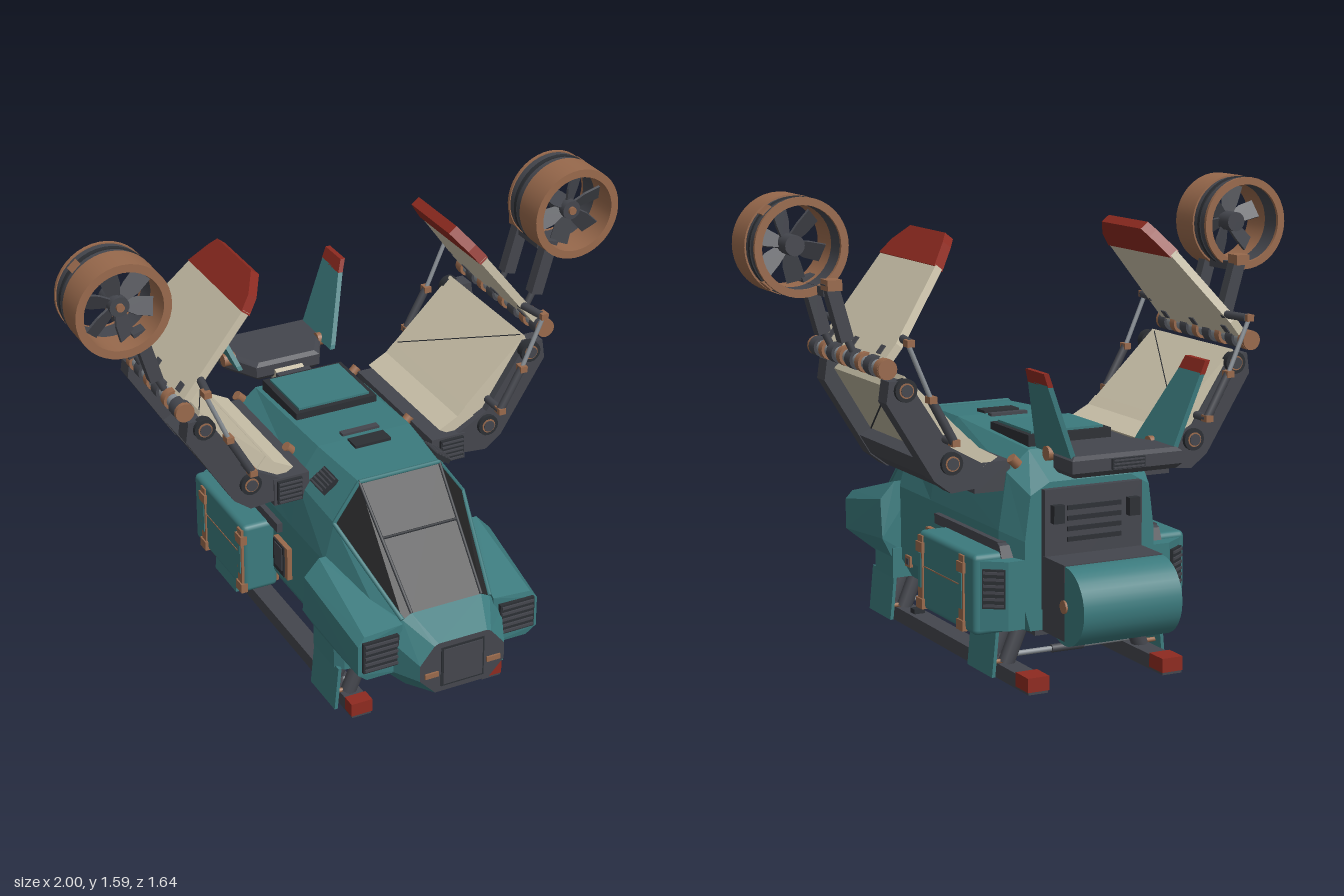
import * as THREE from 'three';
import { ConvexGeometry } from 'three/addons/geometries/ConvexGeometry.js';
import { RoundedBoxGeometry } from 'three/addons/geometries/RoundedBoxGeometry.js';

const mat = (name, color) => Object.assign(new THREE.MeshStandardMaterial({ color }), { name });
const teal = mat('teal paint', 0x3b7a7d), dark = mat('dark grey', 0x44464d), trim = mat('black trim', 0x2c2f34);
const glass = mat('canopy glass', 0x222223), cream = mat('cream panel', 0xcbc2aa), khaki = mat('khaki panel', 0xb5ae98);
const red = mat('red tip', 0x8e2a20), copper = mat('copper', 0x98694c), steel = mat('steel', 0x8a9096);
const V = (x, y, z) => new THREE.Vector3(x, y, z);

function add(parent, name, geo, material, x = 0, y = 0, z = 0) {
  const m = new THREE.Mesh(geo, material);
  m.name = name;
  m.position.set(x, y, z);
  parent.add(m);
  return m;
}
const box = (p, name, m, w, h, d, x, y, z) => add(p, name, new THREE.BoxGeometry(w, h, d), m, x, y, z);
const hull = (p, name, m, pts) => add(p, name, new ConvexGeometry(pts.map(a => V(...a))), m);
const cylZ = (p, name, m, r, len, x, y, z, n = 16) =>
  add(p, name, new THREE.CylinderGeometry(r, r, len, n).rotateX(Math.PI / 2), m, x, y, z);

// rod between two points
function rod(p, name, m, r, a, b, n = 10) {
  const A = V(...a), B = V(...b), d = B.clone().sub(A);
  const o = add(p, name, new THREE.CylinderGeometry(r, r, d.length(), n), m);
  o.position.copy(A).add(B).multiplyScalar(0.5);
  o.quaternion.setFromUnitVectors(V(0, 1, 0), d.normalize());
}
// outline in the x-y plane, extruded from z0 to z1
function slab(p, name, m, pts, z0, z1) {
  const s = new THREE.Shape(pts.map(a => new THREE.Vector2(...a)));
  add(p, name, new THREE.ExtrudeGeometry(s, { depth: z1 - z0, bevelEnabled: false }), m, 0, 0, z0);
}
// dark louvre facing +z, with slats
function grille(p, name, w, h, n) {
  const g = new THREE.Group();
  g.name = name;
  p.add(g);
  box(g, 'grilleBack', trim, w, h, 0.016, 0, 0, 0);
  for (let i = 0; i < n; i++) box(g, 'grilleSlat', dark, w * 0.92, h / n * 0.4, 0.01, 0, h * ((i + 0.5) / n - 0.5), 0.008);
  return g;
}
// mirrored half sections lofted front to back; pick() gives the material of each face
function loft(p, name, secs, mats, pick) {
  const rings = secs.map(([z, h]) => [...h.map(([x, y]) => [x, y, z]), ...h.slice().reverse().map(([x, y]) => [-x, y, z])]);
  const n = rings[0].length, pos = [], geo = new THREE.BufferGeometry();
  const tri = (m, ...t) => {
    geo.addGroup(pos.length / 3, 3, m);
    t.forEach(v => pos.push(...v));
  };
  for (let s = 0; s < rings.length - 1; s++) for (let j = 0; j < n; j++) {
    const a = rings[s], b = rings[s + 1], k = (j + 1) % n, m = pick(s, j, n);
    tri(m, a[j], a[k], b[k]);
    tri(m, a[j], b[k], b[j]);
  }
  const f = rings[0], b = rings[rings.length - 1];
  for (let j = 1; j < n - 1; j++) {
    tri(1, f[0], f[j + 1], f[j]);
    tri(0, b[0], b[j], b[j + 1]);
  }
  geo.setAttribute('position', new THREE.Float32BufferAttribute(pos, 3));
  geo.computeVertexNormals();
  add(p, name, geo, mats);
}

function buildFan(p) {
  const fan = new THREE.Group();
  fan.name = 'ductedFan';
  fan.position.set(0.835, 1.425, 0);
  p.add(fan);
  const ring = (name, m, r0, r1, z0, z1) => add(fan, name, new THREE.LatheGeometry(
    [[r0, z0], [r1, z0], [r1, z0], [r1, z1], [r1, z1], [r0, z1], [r0, z1], [r0, z0]].map(a => new THREE.Vector2(...a)), 40).rotateX(Math.PI / 2), m);
  ring('frontDuct', copper, 0.136, 0.164, -0.045, 0.068);
  ring('rearDuct', dark, 0.136, 0.158, -0.118, -0.045);
  ring('ductBand', trim, 0.138, 0.162, -0.088, -0.072);
  ring('rearLip', copper, 0.136, 0.162, -0.13, -0.118);
  cylZ(fan, 'hub', dark, 0.034, 0.1, 0, 0, -0.02, 20);
  cylZ(fan, 'hubCap', copper, 0.014, 0.012, 0, 0, 0.034);
  for (let i = 0; i < 6; i++) {
    const b = hull(fan, 'blade', dark, [-0.004, 0.004].flatMap(z =>
      [[0.02, -0.018, z], [0.02, 0.018, z], [0.07, 0.034, z], [0.128, 0.036, z], [0.128, -0.028, z], [0.07, -0.026, z]]));
    b.rotation.set(0.45, 0, i * Math.PI / 3 + 0.25, 'ZYX');
  }
  for (const a of [-0.85, 0.85]) box(fan, 'ductLatch', copper, 0.022, 0.04, 0.035, 0.153 * Math.cos(a), 0.153 * Math.sin(a), -0.08).rotation.z = a;
}

function buildWing(p) {
  const w = new THREE.Group();
  w.name = 'foldingWing';
  p.add(w);
  // root box and curved arms
  box(w, 'wingRoot', dark, 0.13, 0.1, 0.57, 0.3, 0.68, -0.13);
  grille(w, 'rootGrille', 0.09, 0.085, 5).position.set(0.31, 0.68, 0.158);
  const arm = [[0.34, 0.65], [0.45, 0.64], [0.51, 0.685], [0.675, 0.95], [0.665, 1.02], [0.6, 1.02], [0.45, 0.79], [0.34, 0.73]];
  for (const [a, b, f] of [[0.085, 0.15, 1], [-0.42, -0.355, -1]]) {
    slab(w, 'wingArm', dark, arm, a, b);
    for (const [x, y] of [[0.452, 0.74], [0.612, 0.99]]) {
      cylZ(w, 'armPivot', trim, 0.038, 0.03, x, y, f > 0 ? b : a);
      cylZ(w, 'pivotRing', copper, 0.025, 0.036, x, y, f > 0 ? b : a);
      cylZ(w, 'pivotBolt', dark, 0.02, 0.044, x, y, f > 0 ? b : a);
    }
    // folding piston
    const z = f > 0 ? 0.21 : -0.485, zi = f > 0 ? 0.1 : -0.37;
    rod(w, 'pistonSleeve', dark, 0.015, [0.47, 0.82, z], [0.55, 0.965, z]);
    rod(w, 'pistonRod', steel, 0.008, [0.55, 0.965, z], [0.63, 1.15, z]);
    rod(w, 'pistonTopBar', dark, 0.014, [0.62, 1.15, z], [0.6, 1.15, zi]);
    rod(w, 'pistonBottomBar', dark, 0.014, [0.47, 0.82, z], [0.47, 0.82, zi]);
    for (const [x, y] of [[0.47, 0.82], [0.55, 0.965], [0.625, 1.15]]) box(w, 'pistonJoint', copper, 0.026, 0.022, 0.036, x, y, z);
  }
  slab(w, 'wingTrough', dark, [[0.34, 0.65], [0.45, 0.645], [0.51, 0.69], [0.55, 0.755], [0.5, 0.78], [0.34, 0.73]], -0.36, 0.09);
  // root strip and flat inner panel, with thin brace lines on both faces
  slab(w, 'rootStrip', cream, [[0.28, 0.745], [0.35, 0.782], [0.38, 0.812], [0.44, 0.74], [0.34, 0.71]], -0.415, 0.125);
  slab(w, 'innerPanel', cream, [[0.38, 0.81], [0.61, 1.035], [0.625, 1.0], [0.48, 0.77], [0.43, 0.74]], -0.415, 0.12);
  slab(w, 'innerPanelUnderside', khaki, [[0.45, 0.85], [0.61, 1.02], [0.64, 0.99], [0.5, 0.76]], -0.356, 0.086);
  rod(w, 'undersideBrace', trim, 0.003, [0.51, 0.776, 0.08], [0.638, 0.987, -0.35], 6);
  rod(w, 'panelBrace', trim, 0.002, [0.39, 0.82, -0.4], [0.605, 1.03, 0.1], 6);
  // hinge bar with collars
  cylZ(w, 'hingeBar', steel, 0.024, 0.57, 0.675, 1.062, -0.14);
  for (let i = 0; i < 8; i++) cylZ(w, 'hingeCollar', i % 2 ? copper : dark, 0.034, i % 2 ? 0.03 : 0.045, 0.675, 1.062, 0.115 - i * 0.075);
  for (const z of [0.145, -0.425]) cylZ(w, 'hingeEnd', copper, 0.033, 0.016, 0.675, 1.062, z);
  // outer panel with red tip
  const at = (y, z, t) => [-1, 1].map(s => [0.668 - (y - 1.07) * 0.797 + s * t * 0.78, y + s * t * 0.62, z]);
  hull(w, 'outerPanel', cream, [[1.08, 0.12], [1.36, 0.12], [1.36, -0.31], [1.13, -0.4], [1.08, -0.4]].flatMap(([y, z]) => at(y, z, 0.014)));
  hull(w, 'panelTip', red, [[1.355, 0.122], [1.4, 0.1], [1.45, 0.035], [1.45, -0.235], [1.425, -0.26], [1.355, -0.312]].flatMap(([y, z]) => at(y, z, 0.018)));
  for (const z of [0.08, -0.11, -0.32]) hull(w, 'panelHinge', dark, [[1.09, z], [1.115, z], [1.115, z - 0.03], [1.09, z - 0.03]].flatMap(([y, q]) => at(y, q, 0.018)));
  // fan pylons
  for (const z of [0, -0.19]) {
    box(w, 'fanPylon', dark, 0.045, 0.2, 0.042, 0.742, 1.222, z).rotation.z = -0.28;
    rod(w, 'pylonFoot', dark, 0.012, [0.675, 1.062, z], [0.72, 1.15, z]);
  }
  box(w, 'pylonCap', copper, 0.05, 0.035, 0.06, 0.765, 1.31, -0.2);
  box(w, 'pylonLink', dark, 0.04, 0.03, 0.14, 0.765, 1.285, -0.11);
  buildFan(w);
}

function buildSide(p) {
  // cheek nacelle and the leg housing below it
  hull(p, 'cheekNacelle', teal, [[0.17, 0.43, 0.715], [0.31, 0.42, 0.715], [0.335, 0.39, 0.72], [0.335, 0.28, 0.72], [0.3, 0.25, 0.715], [0.17, 0.25, 0.715],
    [0.2, 0.52, 0.36], [0.3, 0.52, 0.36], [0.355, 0.46, 0.36], [0.355, 0.32, 0.345], [0.3, 0.22, 0.36], [0.2, 0.22, 0.36]]);
  grille(p, 'cheekIntake', 0.13, 0.115, 5).position.set(0.255, 0.345, 0.722);
  hull(p, 'legHousing', teal, [[0.12, 0.55], [0.29, 0.53], [0.315, 0.5], [0.315, 0.345], [0.12, 0.345]].flatMap(([x, z]) => [[x, 0.172, z], [x, 0.28, z]]));
  // equipment box with straps, fender and rear vent block
  add(p, 'sideBox', new RoundedBoxGeometry(0.13, 0.27, 0.43, 2, 0.018), teal, 0.33, 0.305, -0.26);
  for (const z of [-0.07, -0.385]) {
    box(p, 'boxStrap', copper, 0.142, 0.24, 0.035, 0.33, 0.305, z);
    box(p, 'strapInset', teal, 0.008, 0.12, 0.02, 0.4, 0.305, z);
    for (const y of [0.19, 0.385]) box(p, 'strapBuckle', copper, 0.025, 0.035, 0.048, 0.394, y, z);
  }
  box(p, 'boxSeam', copper, 0.004, 0.004, 0.28, 0.395, 0.32, -0.23);
  box(p, 'fender', dark, 0.05, 0.035, 0.48, 0.275, 0.453, -0.21);
  hull(p, 'fenderEnd', dark, [0.25, 0.3].flatMap(x => [[x, 0.47, -0.44], [x, 0.435, -0.44], [x, 0.46, -0.465], [x, 0.4, -0.49], [x, 0.4, -0.475]]));
  hull(p, 'rearVentBlock', teal, [0.19, 0.42].flatMap(y => [[0.24, y, -0.46], [0.38, y, -0.46], [0.375, y, -0.475], [0.3, y, -0.53], [0.24, y, -0.53]]));
  const g = grille(p, 'rearSideGrille', 0.075, 0.13, 6);
  g.position.set(0.339, 0.33, -0.504);
  g.rotation.y = 2.5;
  box(p, 'stepHousing', copper, 0.03, 0.125, 0.11, 0.283, 0.345, 0.05);
  box(p, 'stepRecess', trim, 0.034, 0.118, 0.085, 0.286, 0.345, 0.042);
  box(p, 'stepCover', dark, 0.034, 0.09, 0.06, 0.289, 0.352, 0.045);
  box(p, 'sideLamp', copper, 0.012, 0.04, 0.04, 0.282, 0.245, 0.28);
  box(p, 'sideLampLens', dark, 0.012, 0.022, 0.022, 0.285, 0.245, 0.28);
  const v = grille(p, 'roofVent', 0.095, 0.07, 5);
  v.position.set(0.212, 0.725, 0.225);
  v.rotation.set(-0.95, Math.PI / 2, 0, 'YXZ');
  // nose lamp, roof lug
  box(p, 'noseLamp', copper, 0.05, 0.018, 0.01, 0.115, 0.275, 0.817);
  for (const z of [-0.43, -0.02]) rod(p, 'roofLug', copper, 0.018, [0.215, 0.715, z], [0.24, 0.74, z]);
  // skid and legs
  box(p, 'skid', dark, 0.072, 0.05, 1.222, 0.25, 0.028, -0.032);
  for (const [a, b] of [[0.53, 0.582], [-0.56, -0.646]])
    box(p, 'skidTip', red, 0.078, 0.048, Math.abs(b - a), 0.25, 0.036, (a + b) / 2);
  for (const z of [0.437, -0.372]) {
    hull(p, 'legFairing', teal, [-0.092, 0.092].flatMap(d => [[0.3, 0.18, z + d], [0.312, 0.18, z + d], [0.327, 0.02, z + d], [0.315, 0.02, z + d]]));
    for (const d of [-0.05, 0.05]) {
      rod(p, 'legStrut', dark, 0.028, [0.2, 0.18, z + d], [0.255, 0.05, z + d]);
      rod(p, 'fairingBracket', copper, 0.008, [0.25, 0.06, z + d], [0.32, 0.06, z + d], 8);
    }
    rod(p, 'crossSleeve', dark, 0.014, [0, 0.062, z], [0.06, 0.062, z]);
    rod(p, 'crossRod', steel, 0.009, [0.05, 0.062, z], [0.25, 0.062, z]);
  }
  box(p, 'skidStep', trim, 0.04, 0.02, 0.035, 0.25, 0.06, 0.28);
  // tail fin
  const fx = y => 0.185 + (y - 0.79) * 0.38;
  const fin = pts => pts.flatMap(([y, z]) => [-0.009, 0.009].map(t => [fx(y) + t, y, z]));
  hull(p, 'tailFin', teal, fin([[0.785, -0.515], [0.8, -0.52], [1.03, -0.635], [1.03, -0.768], [0.785, -0.755]]));
  hull(p, 'finTip', red, fin([[1.025, -0.632], [1.07, -0.648], [1.07, -0.772], [1.025, -0.77]]));
  rod(p, 'finBolt', copper, 0.024, [0.165, 0.785, -0.615], [0.21, 0.785, -0.615], 16);
}

export function createModel() {
  const root = new THREE.Group();
  root.name = 'folding wing aircraft';
  // fuselage with faceted canopy
  loft(root, 'fuselage', [
    [0.815, [[0.09, 0.39], [0.105, 0.383], [0.157, 0.32], [0.157, 0.26], [0.1, 0.2]]],
    [0.7, [[0.13, 0.452], [0.163, 0.435], [0.21, 0.37], [0.21, 0.25], [0.15, 0.18]]],
    [0.36, [[0.15, 0.775], [0.243, 0.64], [0.28, 0.5], [0.28, 0.24], [0.24, 0.17]]],
    [0.1, [[0.175, 0.785], [0.255, 0.67], [0.28, 0.5], [0.28, 0.24], [0.24, 0.17]]],
    [-0.42, [[0.17, 0.76], [0.25, 0.69], [0.28, 0.5], [0.28, 0.24], [0.24, 0.17]]],
    [-0.53, [[0.15, 0.67], [0.22, 0.63], [0.24, 0.48], [0.24, 0.25], [0.22, 0.18]]],
  ], [teal, dark, glass], (s, j, n) => s === 1 && (j === 0 || j === n - 2 || j === n - 1) ? 2 : j === n / 2 - 1 ? 1 : 0);
  for (const s of [-1, 1]) {
    rod(root, 'canopyRib', trim, 0.006, [s * 0.13, 0.452, 0.7], [s * 0.15, 0.775, 0.36], 6);
    rod(root, 'canopySill', teal, 0.008, [s * 0.163, 0.435, 0.7], [s * 0.243, 0.64, 0.36], 6);
    rod(root, 'canopyBackFrame', teal, 0.008, [s * 0.15, 0.775, 0.36], [s * 0.243, 0.64, 0.36], 6);
  }
  rod(root, 'canopyTopFrame', teal, 0.008, [-0.15, 0.775, 0.36], [0.15, 0.775, 0.36], 6);
  rod(root, 'canopyCrossRib', trim, 0.005, [-0.141, 0.635, 0.508], [0.141, 0.635, 0.508], 6);
  box(root, 'nosePanel', trim, 0.16, 0.15, 0.006, 0, 0.295, 0.815);
  box(root, 'nosePlate', dark, 0.145, 0.135, 0.009, 0, 0.295, 0.817);
  box(root, 'belly', dark, 0.38, 0.02, 0.95, 0, 0.165, -0.03);
  // roof fittings
  box(root, 'hatchFrame', trim, 0.31, 0.04, 0.28, 0, 0.78, -0.25);
  box(root, 'hatch', teal, 0.27, 0.04, 0.24, 0, 0.788, -0.25);
  box(root, 'roofPanel', trim, 0.135, 0.012, 0.06, 0, 0.787, 0.14);
  box(root, 'roofSlot', dark, 0.14, 0.012, 0.025, 0, 0.787, 0.065);
  // rear bulkhead and tank
  box(root, 'rearBulkhead', dark, 0.36, 0.4, 0.04, 0, 0.45, -0.535);
  for (let i = 0; i < 4; i++) box(root, 'bulkheadSlot', trim, 0.2, 0.015, 0.008, 0, 0.48 + i * 0.035, -0.557);
  for (const s of [-1, 1]) box(root, 'rearLampBlock', trim, 0.04, 0.06, 0.03, s * 0.14, 0.57, -0.565);
  box(root, 'tankBlock', dark, 0.362, 0.25, 0.15, 0, 0.305, -0.615);
  add(root, 'tankShell', new THREE.CylinderGeometry(0.13, 0.13, 0.36, 32).rotateZ(Math.PI / 2), teal, 0, 0.297, -0.69);
  rod(root, 'tankAxle', copper, 0.022, [-0.187, 0.295, -0.69], [0.187, 0.295, -0.69], 12);
  // tail platform on its boom
  hull(root, 'tailPlatform', dark, [[0.728, 0.015], [0.745, 0], [0.785, 0], [0.797, 0.015]].flatMap(([y, d]) => [-1, 1].flatMap(s =>
    [[s * (0.125 - d), y, -0.505 - d], [s * (0.2 - d), y, -0.65], [s * (0.2 - d), y, -0.775 + d]])));
  hull(root, 'tailBoom', cream, [-0.055, 0.055].flatMap(x => [[x, 0.74, -0.42], [x, 0.67, -0.46], [x, 0.775, -0.54], [x, 0.735, -0.56]]));
  box(root, 'boomClamp', dark, 0.13, 0.04, 0.03, 0, 0.748, -0.455);
  const g = grille(root, 'tailVent', 0.12, 0.035, 3);
  g.position.set(0, 0.765, -0.772);
  g.rotation.y = Math.PI;
  // paired parts
  for (const s of [1, -1]) {
    const side = new THREE.Group();
    side.name = s > 0 ? 'leftSide' : 'rightSide';
    root.add(side);
    buildSide(side);
    buildWing(side);
    side.scale.x = s;
  }
  return root;
}
